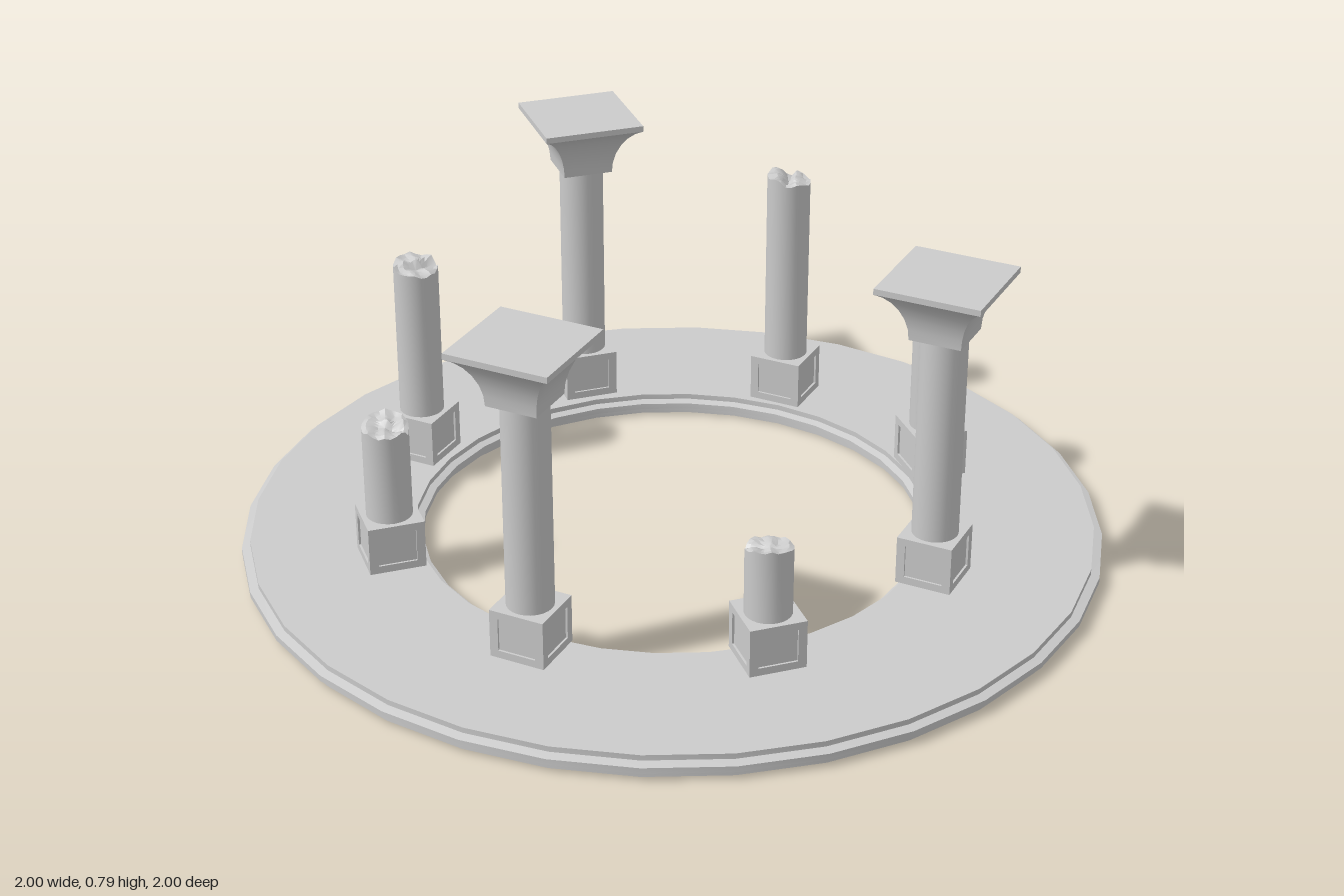
import * as THREE from 'three';
import { toCreasedNormals } from 'three/addons/utils/BufferGeometryUtils.js';

const grey = new THREE.MeshStandardMaterial({ color: 0xcccccc });
const v2 = (list) => list.map(([x, y]) => new THREE.Vector2(x, y));

function mesh(name, geometry) {
  const m = new THREE.Mesh(geometry, grey);
  m.name = name;
  return m;
}

// Ring platform with a moulded band on its outer and inner edges
function makePlatform() {
  const profile = v2([
    [0.985, 0], [0.985, 0.012], [1, 0.018], [1, 0.032], [0.98, 0.037], [0.98, 0.05],
    [0.6, 0.05], [0.6, 0.037], [0.583, 0.032], [0.583, 0.018], [0.597, 0.012], [0.597, 0],
    [0.985, 0],
  ]);
  return mesh('ringPlatform', toCreasedNormals(new THREE.LatheGeometry(profile, 32), 0.45));
}

// Square block with a shallow sunken panel on each side
const BASE_Y = 0.05, BASE_H = 0.115, BASE_W = 0.13, RECESS = 0.005;
function makePedestal() {
  const group = new THREE.Group();
  group.name = 'pedestal';
  const coreW = BASE_W - 2 * RECESS;
  const core = mesh('pedestalCore', new THREE.BoxGeometry(coreW, BASE_H, coreW));
  core.position.y = BASE_Y + BASE_H / 2;
  group.add(core);
  for (let i = 0; i < 4; i++) {
    const hw = (i % 2 ? coreW : BASE_W) / 2, hh = BASE_H / 2;
    const px = BASE_W / 2 - 0.02, py = hh - 0.018;
    const shape = new THREE.Shape(v2([[-hw, -hh], [hw, -hh], [hw, hh], [-hw, hh]]));
    shape.holes.push(new THREE.Path(v2([[-px, -py], [-px, py], [px, py], [px, -py]])));
    const geo = new THREE.ExtrudeGeometry(shape, { depth: RECESS, bevelEnabled: false });
    geo.translate(0, BASE_Y + hh, coreW / 2);
    geo.rotateY(i * Math.PI / 2);
    group.add(mesh('panelFrame', geo));
  }
  return group;
}

const SHAFT_R = 0.053, SHAFT_Y = 0.165, CAPITAL_Y = 0.655;

function makeWholeShaft() {
  const geo = new THREE.CylinderGeometry(SHAFT_R, SHAFT_R, CAPITAL_Y - SHAFT_Y, 24);
  geo.translate(0, (CAPITAL_Y + SHAFT_Y) / 2, 0);
  return mesh('shaft', geo);
}

// Square capital: concave flare under a thin slab
function makeCapital() {
  const profile = v2([
    [0, 0.655], [0.06, 0.655], [0.062, 0.68], [0.068, 0.705], [0.078, 0.729],
    [0.091, 0.75], [0.106, 0.766], [0.121, 0.776], [0.121, 0.79], [0, 0.79],
  ]);
  profile.forEach((p) => { p.x *= Math.SQRT2; });
  const geo = new THREE.LatheGeometry(profile, 4);
  geo.rotateY(Math.PI / 4);
  return mesh('capital', toCreasedNormals(geo, 0.5));
}

// Shaft snapped off at a height: tilted, rough top split by a cleft
function makeBrokenShaft(height, seed) {
  const rings = [1, 0.8, 0.55, 0.3, 0];
  const profile = v2([[SHAFT_R, SHAFT_Y], ...rings.map((k) => [k * SHAFT_R, height])]);
  const geo = new THREE.LatheGeometry(profile, 24);
  const pos = geo.attributes.position;
  const dir = seed * 1.3 + 0.6, c = Math.cos(dir), s = Math.sin(dir);
  for (let i = 0; i < pos.count; i++) {
    if (pos.getY(i) < height - 0.001) continue;
    const u = (pos.getX(i) * c + pos.getZ(i) * s) / SHAFT_R;
    const v = (pos.getZ(i) * c - pos.getX(i) * s) / SHAFT_R;
    const tilt = 0.009 * (u - 1);
    const rough = 0.003 * (Math.sin(7 * u + seed) + Math.sin(9 * v + 2 * seed) - 2);
    const cleft = -0.02 * Math.max(0, 1 - Math.abs(u + 0.15 * v) / 0.3) * (0.6 + 0.4 * v);
    pos.setY(i, height + 0.004 + tilt + rough + cleft);
  }
  return mesh('brokenShaft', toCreasedNormals(geo, 0.45));
}

export function createModel() {
  const model = new THREE.Group();
  model.name = 'ruinedColonnade';
  model.add(makePlatform());

  // Eight columns counted from the front towards +x; 0 marks a whole one
  const brokenHeights = [0, 0.337, 0, 0.46, 0.65, 0, 0.555, 0.4];
  const radius = 0.665;
  brokenHeights.forEach((height, i) => {
    const angle = i * Math.PI / 4;
    const column = new THREE.Group();
    column.name = height ? 'brokenColumn' : 'wholeColumn';
    column.add(makePedestal());
    if (height) column.add(makeBrokenShaft(height, i));
    else column.add(makeWholeShaft(), makeCapital());
    column.position.set(Math.sin(angle) * radius - 0.017, 0, Math.cos(angle) * radius - 0.012);
    column.rotation.y = angle;
    model.add(column);
  });
  return model;
}
